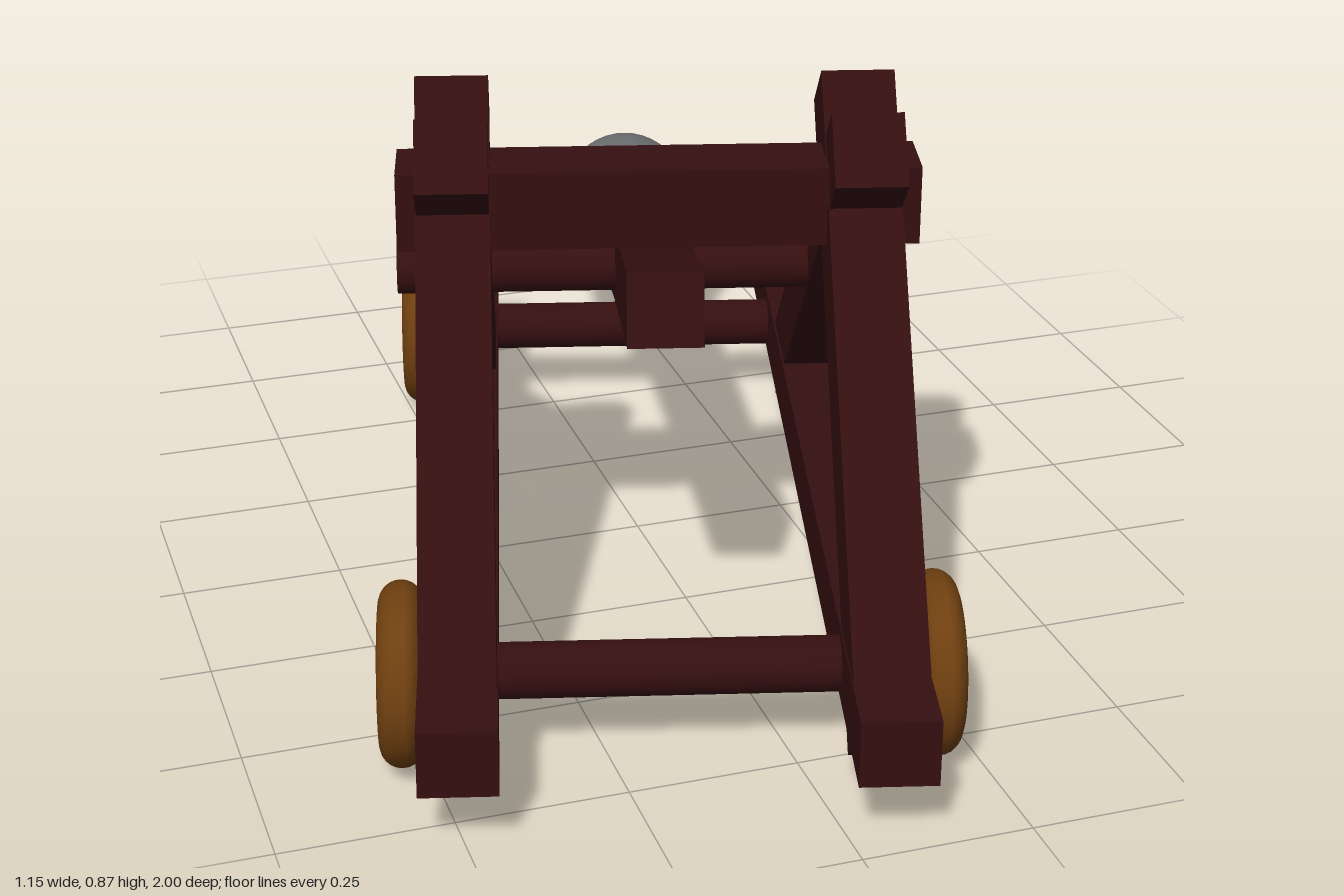
import * as THREE from 'three';
import { toCreasedNormals } from 'three/addons/utils/BufferGeometryUtils.js';

const wood = new THREE.MeshStandardMaterial({ color: 0x350f10 });
wood.name = 'darkWood';
const rimWood = new THREE.MeshStandardMaterial({ color: 0x6e3f10 });
rimWood.name = 'wheelBrown';
const stone = new THREE.MeshStandardMaterial({ color: 0x6a6b6c });
stone.name = 'stoneGrey';

function add(parent, name, geometry, material, x = 0, y = 0, z = 0) {
  const mesh = new THREE.Mesh(geometry, material);
  mesh.name = name;
  mesh.position.set(x, y, z);
  parent.add(mesh);
  return mesh;
}

// Round rod lying across the frame
function rod(parent, name, radius, length, y, z) {
  add(parent, name, new THREE.CylinderGeometry(radius, radius, length, 24), wood, 0, y, z).rotation.z = Math.PI / 2;
}

// Square beam between two (z, y) points in a side plane
function beam(parent, name, x, width, thick, [z0, y0], [z1, y1]) {
  const length = Math.hypot(z1 - z0, y1 - y0);
  const mesh = add(parent, name, new THREE.BoxGeometry(width, thick, length), wood, x, (y0 + y1) / 2, (z0 + z1) / 2);
  mesh.rotation.x = -Math.atan2(y1 - y0, z1 - z0);
}

// Wheel: rounded tyre with a stepped flat disc
function wheelGeometry() {
  const half = [[0, 0.026], [0.07, 0.026], [0.074, 0.015], [0.08, 0.015]];
  const pts = half.map(([r, h]) => new THREE.Vector2(r, -h));
  for (let i = 0; i <= 16; i++) {
    const a = -2.2 + (4.4 * i) / 16;
    pts.push(new THREE.Vector2(0.1 + 0.032 * Math.cos(a), 0.032 * Math.sin(a)));
  }
  half.reverse().forEach(([r, h]) => pts.push(new THREE.Vector2(r, h)));
  return toCreasedNormals(new THREE.LatheGeometry(pts, 40), 0.6);
}

// Throwing arm: sections along z, widening into a hollow spoon
function armGeometry() {
  // z, half width, top, bottom, bottom half width, hollow half width, hollow floor
  const sections = [
    [0.483, 0.054, 0.054, -0.054, 0.054, 0.03, 0.054],
    [0, 0.054, 0.054, -0.056, 0.054, 0.03, 0.054],
    [-0.47, 0.056, 0.056, -0.075, 0.054, 0.03, 0.056],
    [-0.72, 0.075, 0.06, -0.105, 0.065, 0.04, 0.06],
    [-0.83, 0.115, 0.066, -0.118, 0.085, 0.085, 0.05],
    [-0.90, 0.138, 0.07, -0.12, 0.095, 0.118, -0.07],
    [-1.01, 0.138, 0.07, -0.112, 0.095, 0.118, -0.07],
    [-1.08, 0.095, 0.055, -0.075, 0.07, 0.07, 0.02],
    [-1.135, 0.05, 0.03, -0.02, 0.045, 0.03, 0.03],
  ];
  const pos = [];
  const index = [];
  for (const [z, w, top, bot, wb, wi, floor] of sections) {
    const ring = [[-w, top], [-wb, bot], [wb, bot], [w, top], [wi, top], [wi * 0.75, floor], [-wi * 0.75, floor], [-wi, top]];
    ring.forEach(([x, y]) => pos.push(x, y, z));
  }
  const n = 8;
  for (let s = 0; s < sections.length - 1; s++) {
    for (let k = 0; k < n; k++) {
      const p0 = s * n + k, p1 = s * n + ((k + 1) % n);
      index.push(p0, p0 + n, p1, p1, p0 + n, p1 + n);
    }
  }
  const e = (sections.length - 1) * n;
  index.push(0, 1, 2, 0, 2, 3, e, e + 2, e + 1, e, e + 3, e + 2);
  const g = new THREE.BufferGeometry();
  g.setAttribute('position', new THREE.Float32BufferAttribute(pos, 3));
  g.setIndex(index);
  return toCreasedNormals(g, 0.1);
}

export function createModel() {
  const model = new THREE.Group();
  model.name = 'catapult';
  const frame = new THREE.Group();
  frame.name = 'frame';
  frame.position.set(-0.006, 0, 0.077);
  frame.rotation.y = -Math.PI / 12;
  model.add(frame);

  // Side rails with crossing legs
  for (const side of [-1, 1]) {
    const label = side > 0 ? 'left' : 'right';
    const x = side * 0.296;
    add(frame, label + 'Rail', new THREE.BoxGeometry(0.11, 0.1, 1.708), wood, x, 0.14, 0);
    beam(frame, label + 'FrontLeg', x, 0.107, 0.115, [0.762, 0.093], [0.12, 0.831]);
    beam(frame, label + 'BackLeg', x, 0.104, 0.113, [-0.467, 0.113], [0.332, 0.807]);
  }

  // Cross members
  add(frame, 'crossbar', new THREE.BoxGeometry(0.755, 0.118, 0.108), wood, 0, 0.705, 0.236);
  rod(frame, 'pivotRod', 0.04, 0.78, 0.5, 0);

  // Axles and wheels
  const wheel = wheelGeometry();
  for (const z of [0.6, -0.6]) {
    const label = z > 0 ? 'front' : 'back';
    rod(frame, label + 'Axle', 0.04, 0.815, 0.133, z);
    for (const side of [-1, 1]) {
      const name = label + (side > 0 ? 'Left' : 'Right') + 'Wheel';
      add(frame, name, wheel, rimWood, side * 0.377, 0.132, z).rotation.z = Math.PI / 2;
    }
  }

  // Throwing arm with its stone ball
  const arm = new THREE.Group();
  arm.name = 'throwingArm';
  arm.position.y = 0.5;
  arm.rotation.x = -Math.PI / 12;
  frame.add(arm);
  add(arm, 'armAndSpoon', armGeometry(), wood);
  add(arm, 'ball', new THREE.SphereGeometry(0.115, 32, 20), stone, 0, 0.004, -0.96);
  return model;
}
